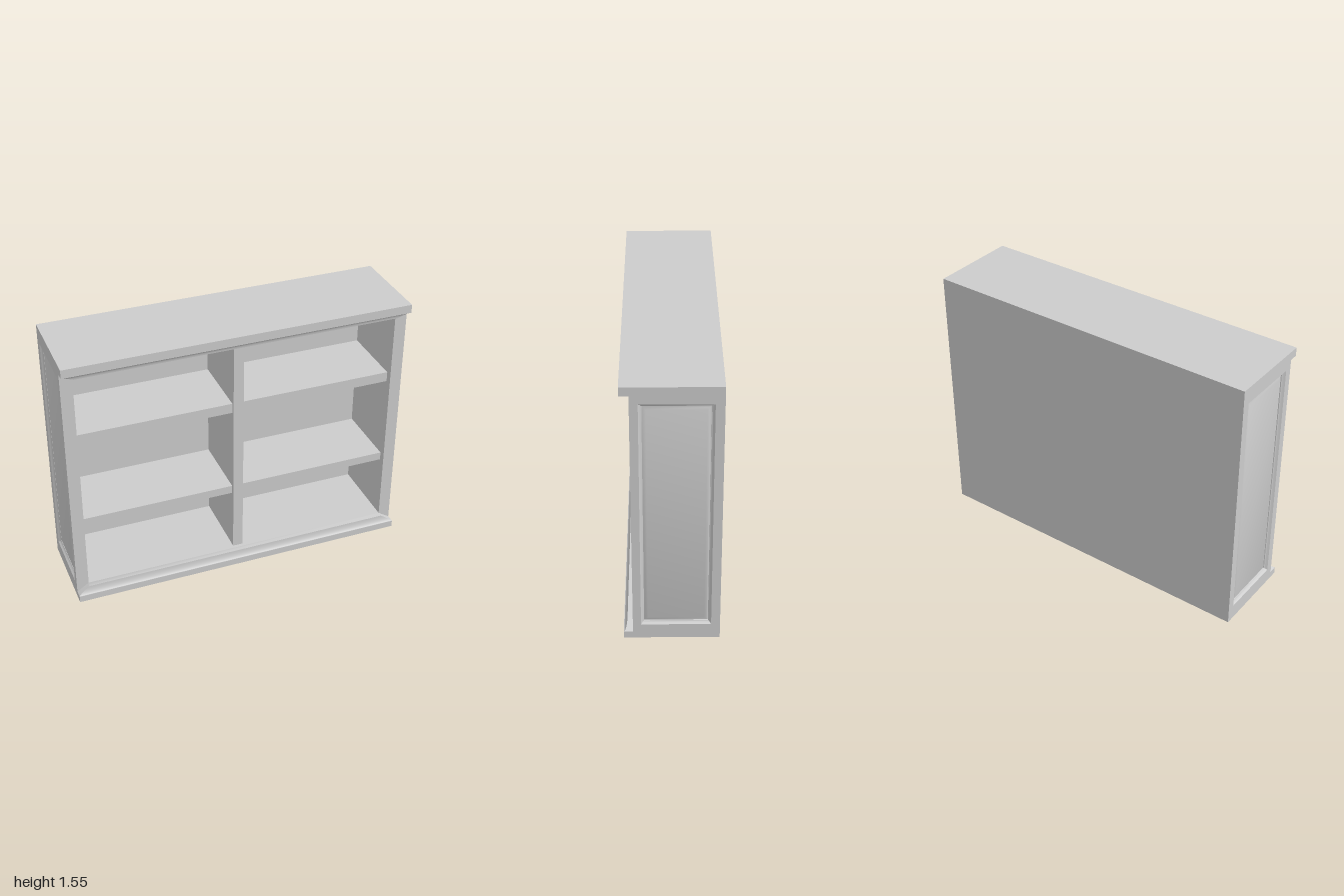
import * as THREE from 'three';
import { toCreasedNormals } from 'three/addons/utils/BufferGeometryUtils.js';

const H = 1.55, BACK = -0.26, FRONT = 0.26, BODY = 0.21;
const SLAB_LOW = 0.04, SLAB_HIGH = 1.5, FLOOR = 0.085, CEILING = 1.47, INNER = 0.93;

export function createModel() {
  const group = new THREE.Group();
  const material = new THREE.MeshStandardMaterial({ color: 0xcccccc });

  function add(name, geometry) {
    const mesh = new THREE.Mesh(geometry, material);
    mesh.name = name;
    group.add(mesh);
  }

  // Box given by its limits on each axis
  function box(name, x0, x1, y0, y1, z0, z1) {
    const g = new THREE.BoxGeometry(x1 - x0, y1 - y0, z1 - z0);
    add(name, g.translate((x0 + x1) / 2, (y0 + y1) / 2, (z0 + z1) / 2));
  }

  // Side wall: nested rectangles stepping into a groove and up to a raised panel
  function sideWall(name, side) {
    const outer = [BACK, BODY, SLAB_LOW, SLAB_HIGH];
    const panel = [-0.212, 0.166, 0.09, 1.455];
    const inset = d => [panel[0] + d, panel[1] - d, panel[2] + d, panel[3] - d];
    const rings = [
      [outer, INNER], [outer, 1], [panel, 1],
      [inset(0.005), 0.994], [inset(0.01), 0.988], [inset(0.016), 0.985],
      [inset(0.017), 0.98], [inset(0.027), 0.983], [inset(0.038), 0.988],
    ].map(([[z0, z1, y0, y1], x]) => {
      const corners = [[z1, y0], [z0, y0], [z0, y1], [z1, y1]];
      if (side < 0) corners.reverse();
      return corners.map(([z, y]) => [side * x, y, z]);
    });
    const points = [];
    const quad = (a, b, c, d) => points.push(...a, ...b, ...c, ...a, ...c, ...d);
    for (let i = 0; i < rings.length - 1; i++) {
      for (let k = 0; k < 4; k++) {
        const n = (k + 1) % 4;
        quad(rings[i][k], rings[i][n], rings[i + 1][n], rings[i + 1][k]);
      }
    }
    quad(...rings[rings.length - 1]);
    quad(...rings[0].slice().reverse());
    const g = new THREE.BufferGeometry();
    g.setAttribute('position', new THREE.Float32BufferAttribute(points, 3));
    add(name, toCreasedNormals(g, 0.6));
  }

  // Cove moulding between a slab edge and the opening, its ends cut at a slant
  function moulding(name, slabY, openY) {
    const dy = openY - slabY;
    const shape = new THREE.Shape();
    shape.moveTo(-BODY, slabY);
    shape.lineTo(-0.257, slabY);
    shape.quadraticCurveTo(-0.242, slabY + dy * 0.3, -0.24, openY);
    shape.lineTo(-BODY, openY);
    const g = new THREE.ExtrudeGeometry(shape, { depth: 2, bevelEnabled: false, curveSegments: 8 });
    g.translate(0, 0, -1).rotateY(Math.PI / 2);
    const p = g.attributes.position;
    for (let i = 0; i < p.count; i++) {
      const t = (p.getY(i) - slabY) / dy;
      p.setX(i, p.getX(i) * (1 - (1 - INNER) * t));
    }
    add(name, toCreasedNormals(g, 0.6));
  }

  // Top and base slabs with the floor and ceiling boards
  box('baseSlab', -1, 1, 0, SLAB_LOW, BACK, FRONT);
  box('topSlab', -1, 1, SLAB_HIGH, H, BACK, FRONT);
  box('floorBoard', -INNER, INNER, SLAB_LOW, FLOOR, BACK, BODY);
  box('ceilingBoard', -INNER, INNER, CEILING, SLAB_HIGH, BACK, BODY);
  moulding('baseMoulding', SLAB_LOW, FLOOR);
  moulding('topMoulding', SLAB_HIGH, CEILING);

  // Walls
  sideWall('leftSide', 1);
  sideWall('rightSide', -1);
  box('backPanel', -INNER, INNER, FLOOR, CEILING, BACK, -0.23);
  box('divider', -0.03, 0.03, FLOOR, CEILING, -0.23, 0.19);

  // Two shelves in each bay
  for (const [y0, y1] of [[0.465, 0.515], [1.02, 1.08]]) {
    box('leftShelf', 0.03, INNER, y0, y1, -0.23, 0.17);
    box('rightShelf', -INNER, -0.03, y0, y1, -0.23, 0.17);
  }

  return group;
}
